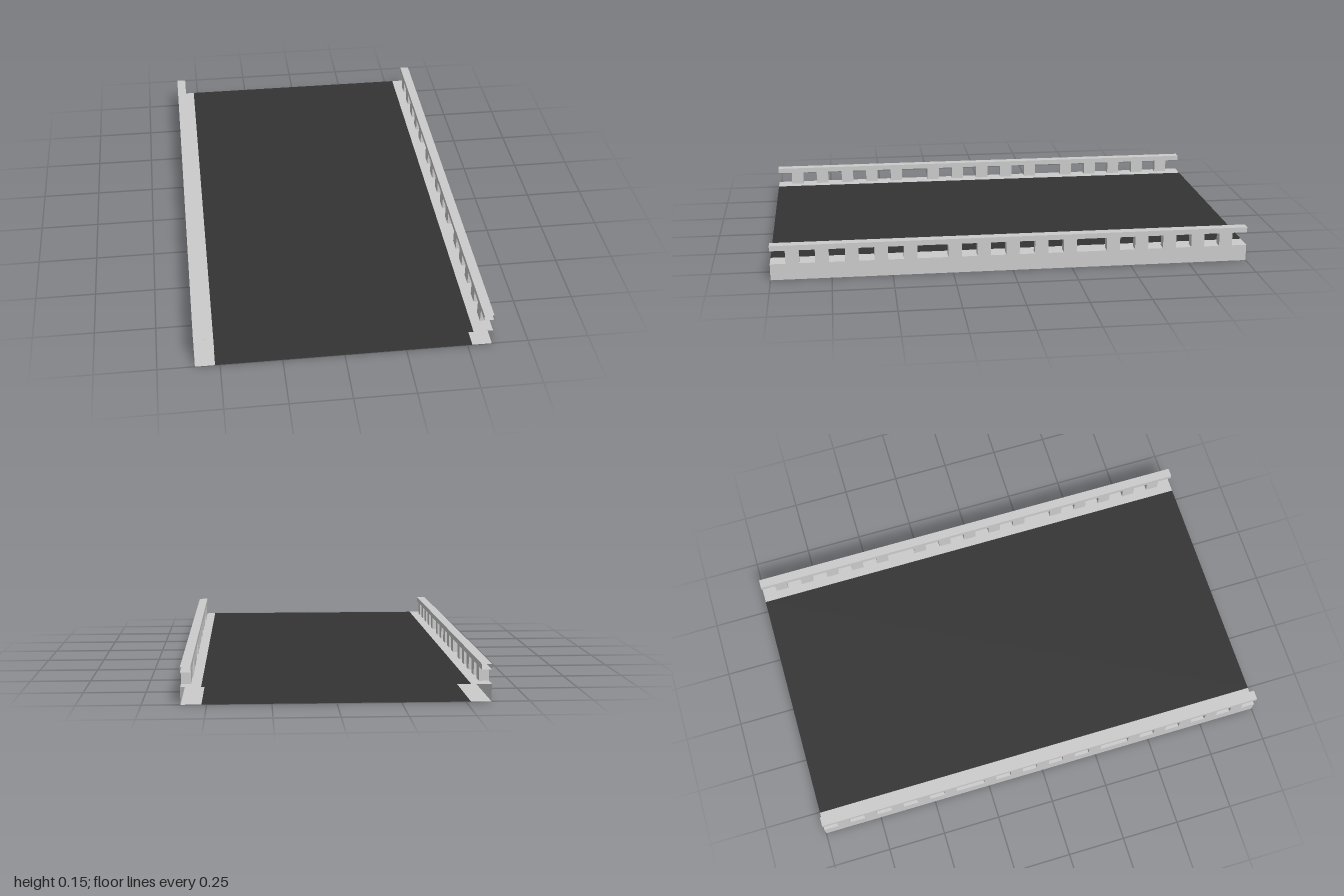
import * as THREE from 'three';

const grey = new THREE.MeshStandardMaterial({ color: 0xcccccc, side: THREE.DoubleSide, flatShading: true });
const dark = new THREE.MeshStandardMaterial({ color: 0x333333, side: THREE.DoubleSide, flatShading: true });

const HALF_WIDTH = 0.6, LENGTH = 2;
const DECK_TOP = 0.069, RAIL_BOTTOM = 0.125, RAIL_TOP = 0.147;
const DECK_EDGE = 0.52, RAIL_INNER = 0.56;
const POST_WIDTH = 0.056;
const POST_CENTRES = [0, 0.121, 0.242, 0.425, 0.546, 0.666, 0.788, 0.909];

// Sheet-metal box between two corners that keeps only the listed faces.
const FACES = ['+x', '-x', '+y', '-y', '+z', '-z'];
function openBox(name, material, [x0, x1], [y0, y1], [z0, z1], keep) {
  const geometry = new THREE.BoxGeometry(x1 - x0, y1 - y0, z1 - z0);
  const source = Array.from(geometry.index.array);
  geometry.setIndex(keep.flatMap((face) => {
    const start = FACES.indexOf(face) * 6;
    return source.slice(start, start + 6);
  }));
  geometry.clearGroups();
  geometry.translate((x0 + x1) / 2, (y0 + y1) / 2, (z0 + z1) / 2);
  const mesh = new THREE.Mesh(geometry, material);
  mesh.name = name;
  return mesh;
}

// One side: sill, row of posts and hollow top rail.
function createSide(sign) {
  const side = new THREE.Group();
  side.name = sign > 0 ? 'leftSide' : 'rightSide';
  const span = (a, b) => (sign > 0 ? [a, b] : [-b, -a]);
  const full = [-LENGTH / 2, LENGTH / 2];
  const outer = sign > 0 ? '+x' : '-x';
  const railX = span(RAIL_INNER, HALF_WIDTH);

  side.add(openBox('sill', grey, span(DECK_EDGE, HALF_WIDTH), [0, DECK_TOP], full, [outer, '+y', '-y']));
  side.add(openBox('topRail', grey, railX, [RAIL_BOTTOM, RAIL_TOP], full, ['+x', '-x', '+y', '-y']));

  // Posts mirrored about the middle, with wider gaps at two places
  const centres = [...POST_CENTRES, ...POST_CENTRES.slice(1).map((z) => -z)];
  for (const z of centres) {
    side.add(openBox('post', grey, railX, [DECK_TOP, RAIL_BOTTOM],
      [z - POST_WIDTH / 2, z + POST_WIDTH / 2], ['+x', '-x', '+z', '-z']));
  }
  return side;
}

export function createModel() {
  const model = new THREE.Group();
  model.name = 'bridgeDeckSection';
  // Deck: upper and lower skins, open at both ends
  model.add(openBox('deck', dark, [-DECK_EDGE, DECK_EDGE], [0, DECK_TOP],
    [-LENGTH / 2, LENGTH / 2], ['+y', '-y']));
  model.add(createSide(1), createSide(-1));
  return model;
}
